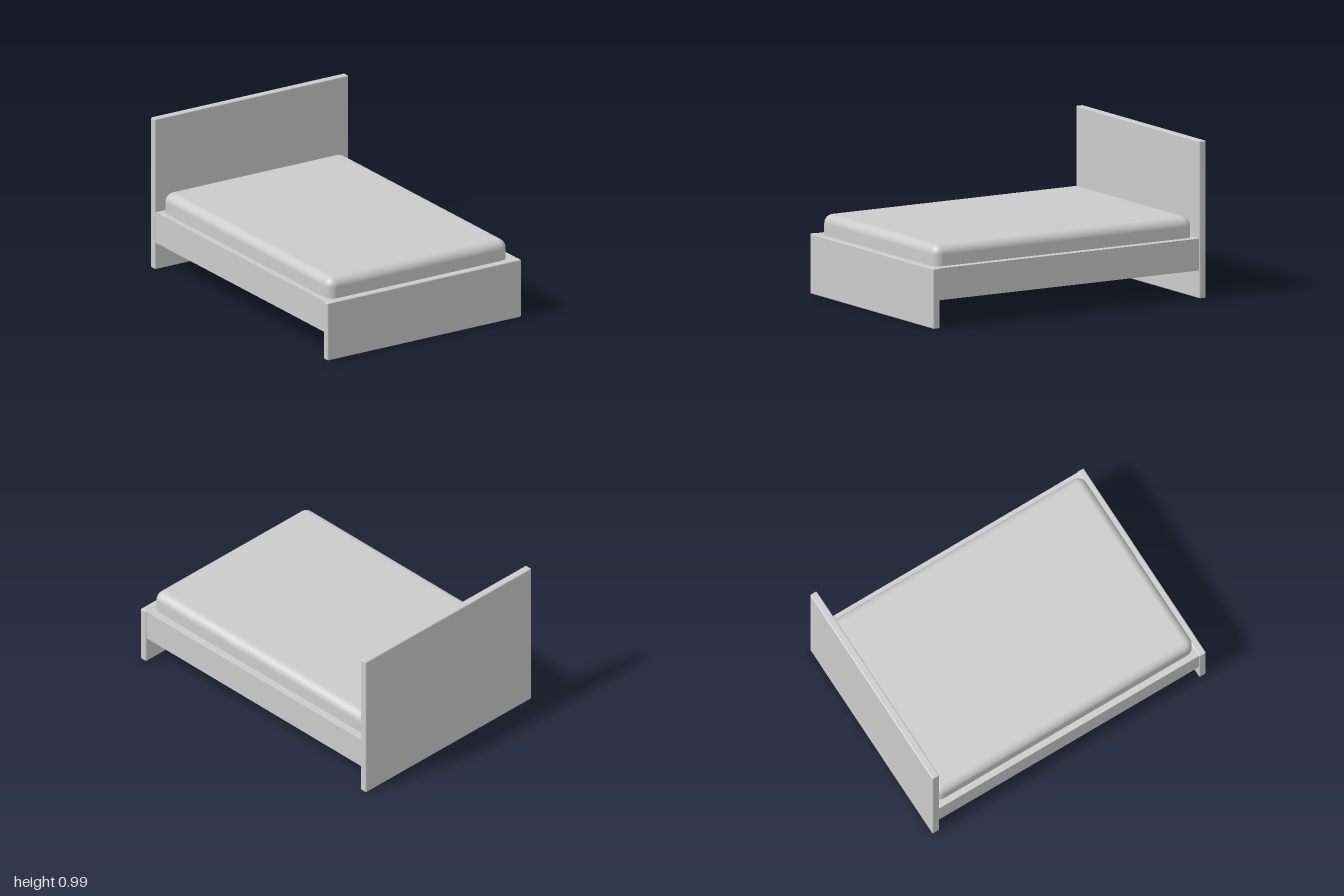
import * as THREE from 'three';
import { RoundedBoxGeometry } from 'three/addons/geometries/RoundedBoxGeometry.js';

export function createModel() {
  const group = new THREE.Group();
  const material = new THREE.MeshStandardMaterial({ color: 0xcccccc });

  // Adds a box given its [min, max] extents; radius 0 keeps sharp edges.
  function addBox(name, [x0, x1], [y0, y1], [z0, z1], radius = 0, segments = 2) {
    const size = [x1 - x0, y1 - y0, z1 - z0];
    const geometry = radius
      ? new RoundedBoxGeometry(...size, segments, radius)
      : new THREE.BoxGeometry(...size);
    const mesh = new THREE.Mesh(geometry, material);
    mesh.name = name;
    mesh.position.set((x0 + x1) / 2, (y0 + y1) / 2, (z0 + z1) / 2);
    group.add(mesh);
  }

  // End boards with softly eased edges
  addBox('headboard', [-0.718, 0.718], [0, 0.993], [-1, -0.951], 0.008);
  addBox('footboard', [-0.718, 0.718], [0, 0.38], [0.951, 1], 0.008);

  // Solid base between the boards
  addBox('bedBase', [-0.713, 0.713], [0.177, 0.378], [-0.953, 0.953]);

  // Rounded mattress, partly sunk into the base
  addBox('mattress', [-0.672, 0.661], [0.25, 0.508], [-0.943, 0.949], 0.058, 6);

  return group;
}
